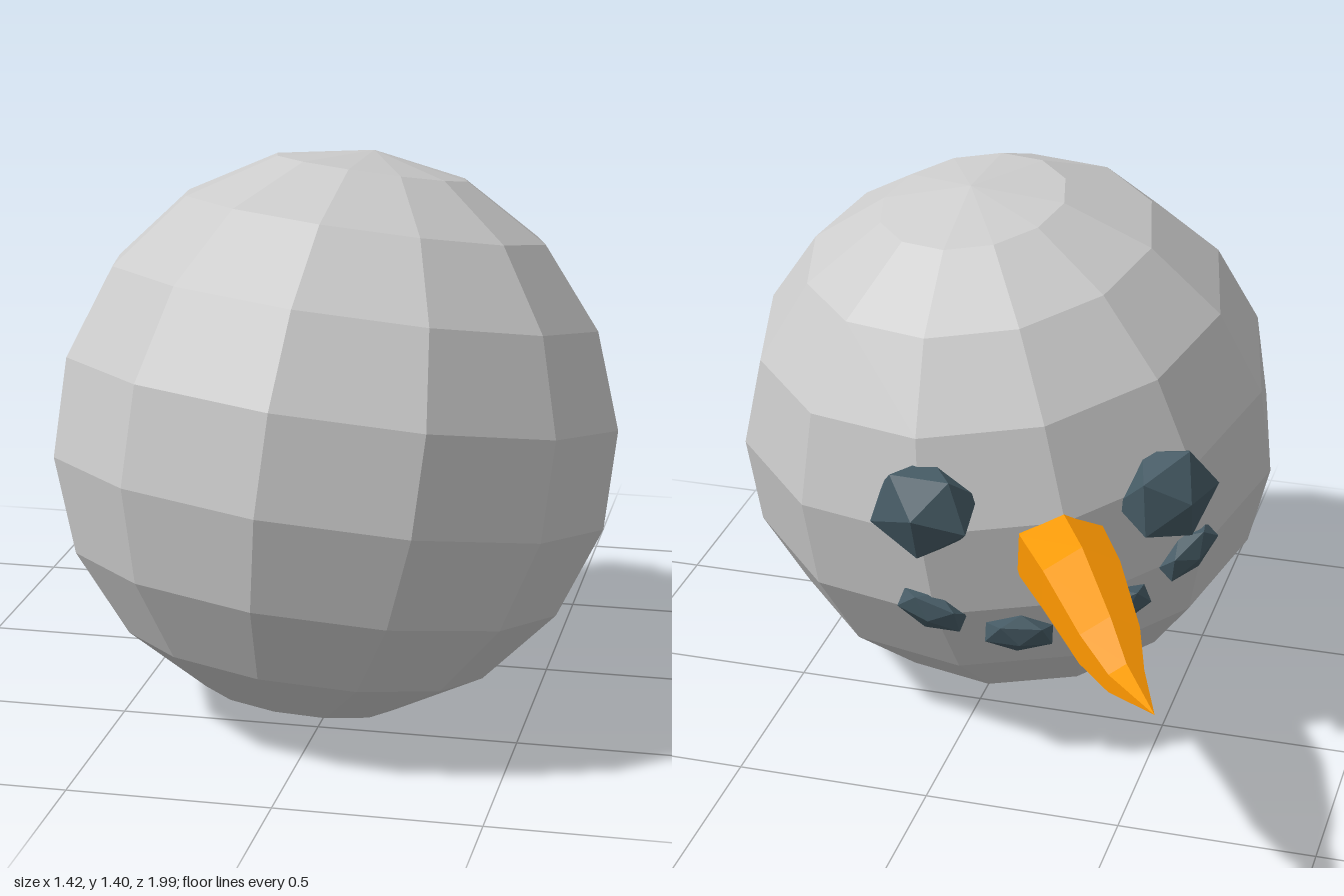
import * as THREE from 'three';

const CENTRE = new THREE.Vector3(0, 0.705, 0.29);
const RADIUS = 0.71;
const rad = THREE.MathUtils.degToRad;

const flat = (color) => new THREE.MeshStandardMaterial({ color, flatShading: true });

// Flattened icosahedral pebble with one corner pointing along +z
function pebbleGeometry(w, h, d) {
  return new THREE.IcosahedronGeometry(1, 0)
    .rotateX(Math.atan(2 / (1 + Math.sqrt(5))))
    .scale(w, h, d);
}

// Sits a mesh on the head's surface in a given direction, facing outward
function placeOnHead(mesh, [x, y, z], distance, roll) {
  const dir = new THREE.Vector3(x, y, z).normalize();
  mesh.position.copy(CENTRE).addScaledVector(dir, distance);
  mesh.lookAt(mesh.position.clone().add(dir));
  mesh.rotateZ(rad(roll));
}

// Six-sided tapered carrot that sags slightly before its tip
function noseGeometry() {
  const profile = [
    [0, -0.12], [0.11, -0.1], [0.122, 0], [0.112, 0.18],
    [0.085, 0.42], [0.05, 0.555], [0, 0.772],
  ].map(([r, l]) => new THREE.Vector2(r, l));
  const geometry = new THREE.LatheGeometry(profile, 6).rotateX(Math.PI / 2);
  const p = geometry.attributes.position;
  for (let i = 0; i < p.count; i++) {
    const z = p.getZ(i);
    const sag = z < 0.18 ? 0 : z < 0.6 ? -0.055 * (z - 0.18) / 0.375 : -0.02;
    p.setY(i, p.getY(i) * 0.92 + sag);
  }
  geometry.computeVertexNormals();
  return geometry;
}

export function createModel() {
  const model = new THREE.Group();
  model.name = 'snowmanHead';

  // Faceted snowball, tipped slightly back and sideways
  const head = new THREE.Mesh(new THREE.SphereGeometry(RADIUS, 12, 9), flat(0xcccccc));
  head.name = 'head';
  head.position.copy(CENTRE);
  head.rotation.set(rad(-10), rad(-3), rad(-6), 'ZXY');
  model.add(head);

  // Carrot nose
  const nose = new THREE.Mesh(noseGeometry(), flat(0xff9800));
  nose.name = 'nose';
  nose.position.set(-0.3, 0.66, -0.325);
  nose.lookAt(-0.69, 0.66, -0.99);
  model.add(nose);

  // Coal eyes
  const coal = flat(0x455a64);
  const eyeGeometry = pebbleGeometry(0.145, 0.13, 0.1);
  [
    ['leftEye', [0.03, 0.065, -0.7], 0],
    ['rightEye', [-0.53, 0.065, -0.45], 20],
  ].forEach(([name, dir, roll]) => {
    const eye = new THREE.Mesh(eyeGeometry, coal);
    eye.name = name;
    placeOnHead(eye, dir, 0.695, roll);
    model.add(eye);
  });

  // Smile of four coal pebbles
  const mouth = new THREE.Group();
  mouth.name = 'mouth';
  const pebble = pebbleGeometry(0.1, 0.058, 0.04);
  [
    [[0.02, -0.235, -0.655], -22],
    [[-0.19, -0.3, -0.6], -5],
    [[-0.42, -0.24, -0.506], 18],
    [[-0.57, -0.125, -0.38], 32],
  ].forEach(([dir, roll], i) => {
    const piece = new THREE.Mesh(pebble, coal);
    piece.name = `mouthPebble${i + 1}`;
    placeOnHead(piece, dir, 0.7, roll);
    mouth.add(piece);
  });
  model.add(mouth);

  return model;
}
